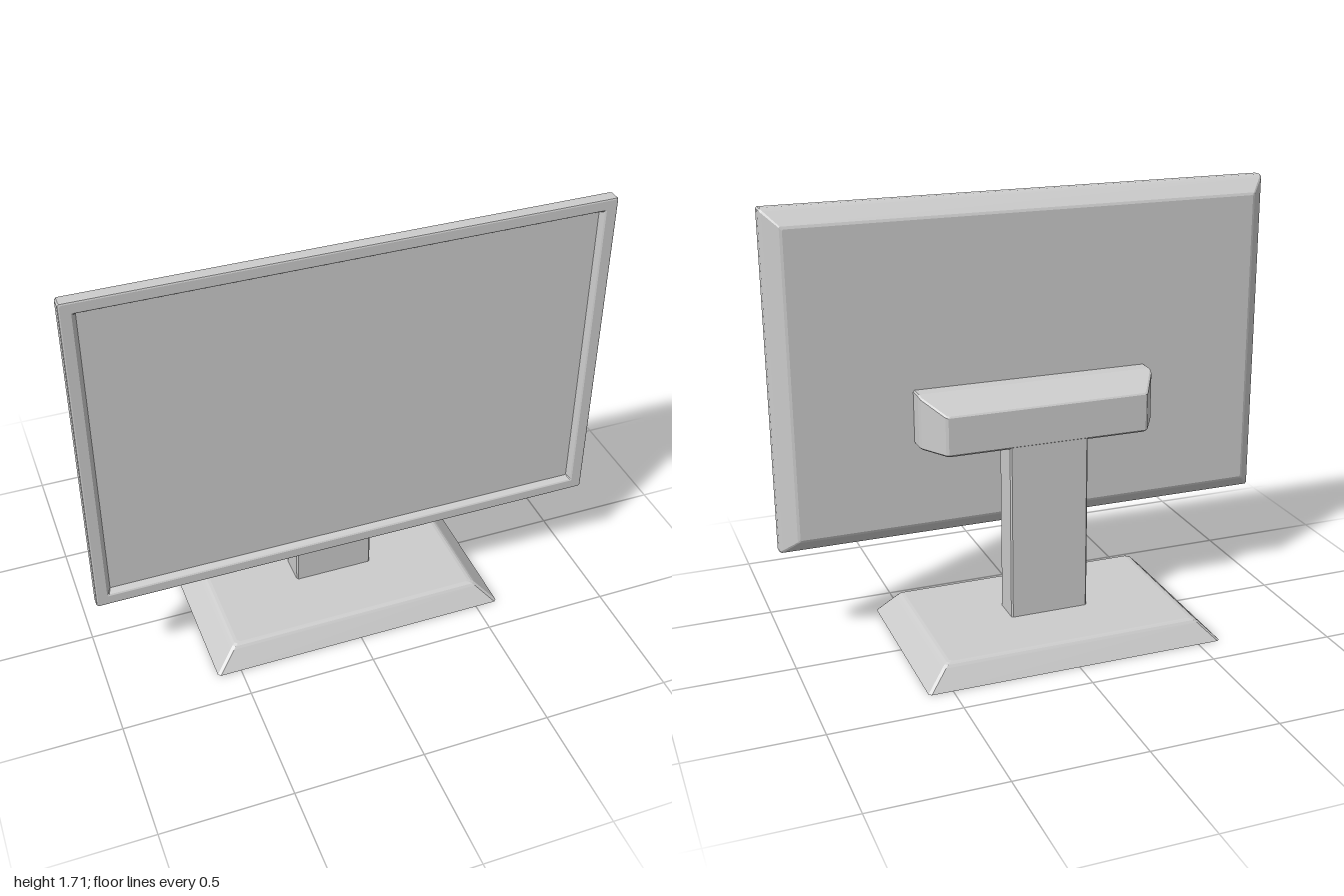
import * as THREE from 'three';
import { ConvexGeometry } from 'three/addons/geometries/ConvexGeometry.js';

// Skins a stack of rectangles [halfX, halfY, z, cornerCut], capped at both ends.
function loft(rings) {
  const loops = rings.map(([x, y, z, c]) => [
    [x, -y + c, z], [x, y - c, z], [x - c, y, z], [-x + c, y, z],
    [-x, y - c, z], [-x, -y + c, z], [-x + c, -y, z], [x - c, -y, z],
  ]);
  const n = 8;
  const pos = [];
  const tri = (a, b, c) => pos.push(...a, ...b, ...c);
  for (let r = 0; r < loops.length - 1; r++) {
    const a = loops[r], b = loops[r + 1];
    for (let i = 0; i < n; i++) {
      const j = (i + 1) % n;
      tri(a[i], a[j], b[j]);
      tri(a[i], b[j], b[i]);
    }
  }
  const first = loops[0], last = loops[loops.length - 1];
  for (let i = 1; i < n - 1; i++) {
    tri(first[0], first[i + 1], first[i]);
    tri(last[0], last[i], last[i + 1]);
  }
  const geometry = new THREE.BufferGeometry();
  geometry.setAttribute('position', new THREE.Float32BufferAttribute(pos, 3));
  geometry.computeVertexNormals();
  return geometry;
}

export function createModel() {
  const model = new THREE.Group();
  model.name = 'monitor';
  const material = new THREE.MeshStandardMaterial({ color: 0xcccccc });
  const add = (name, geometry) => {
    const mesh = new THREE.Mesh(geometry, material);
    mesh.name = name;
    model.add(mesh);
    return mesh;
  };

  // Screen: flat back, chamfered rear edge, softened front rim and recessed panel
  const screen = add('screen', loft([
    [0.93, 0.592, 0.13, 0.004],
    [0.94, 0.602, 0.134, 0.004],
    [0.99, 0.65, 0.184, 0.006],
    [0.997, 0.657, 0.193, 0.006],
    [1, 0.66, 0.204, 0.006],
    [1, 0.66, 0.236, 0.006],
    [0.998, 0.658, 0.241, 0.006],
    [0.993, 0.653, 0.243, 0.006],
    [0.957, 0.619, 0.243, 0.003],
    [0.952, 0.614, 0.24, 0.003],
    [0.942, 0.603, 0.222, 0.002],
    [0.94, 0.601, 0.22, 0.002],
  ]));
  screen.position.y = 1.05;

  // Base: hollow tray, from the inside of its top down, around the rim and up
  add('base', loft([
    [0.49, 0.31, 0.078, 0.01],
    [0.582, 0.367, 0, 0.01],
    [0.592, 0.375, 0, 0.01],
    [0.522, 0.329, 0.072, 0.01],
    [0.512, 0.322, 0.081, 0.01],
    [0.502, 0.315, 0.086, 0.01],
    [0.49, 0.308, 0.088, 0.01],
  ]).rotateX(-Math.PI / 2));

  // Neck: upright block whose foot passes through the base
  add('neck', loft([
    [0.15, 0.052, 0.07, 0.012],
    [0.158, 0.06, 0.078, 0.006],
    [0.158, 0.06, 0.85, 0.006],
  ]).rotateX(-Math.PI / 2));

  // Bracket: tapered block with a sloping top, joining the neck to the screen
  const outline = [[0.475, 0.135], [0.475, 0.07], [0.47, 0.05], [0.408, -0.055], [0.398, -0.061]];
  const points = [];
  for (const [x, z] of outline) {
    const top = 1 - Math.max(0, 0.07 - z) * 0.42;
    for (const side of [-1, 1]) {
      points.push(
        new THREE.Vector3(side * (x - 0.006), 0.787, z === 0.135 ? z : z + 0.006),
        new THREE.Vector3(side * x, 0.794, z),
        new THREE.Vector3(side * x, top - 0.006, z),
        new THREE.Vector3(side * (x - 0.006), top, z === 0.135 ? z : z + 0.004),
      );
    }
  }
  add('bracket', new ConvexGeometry(points));

  return model;
}
